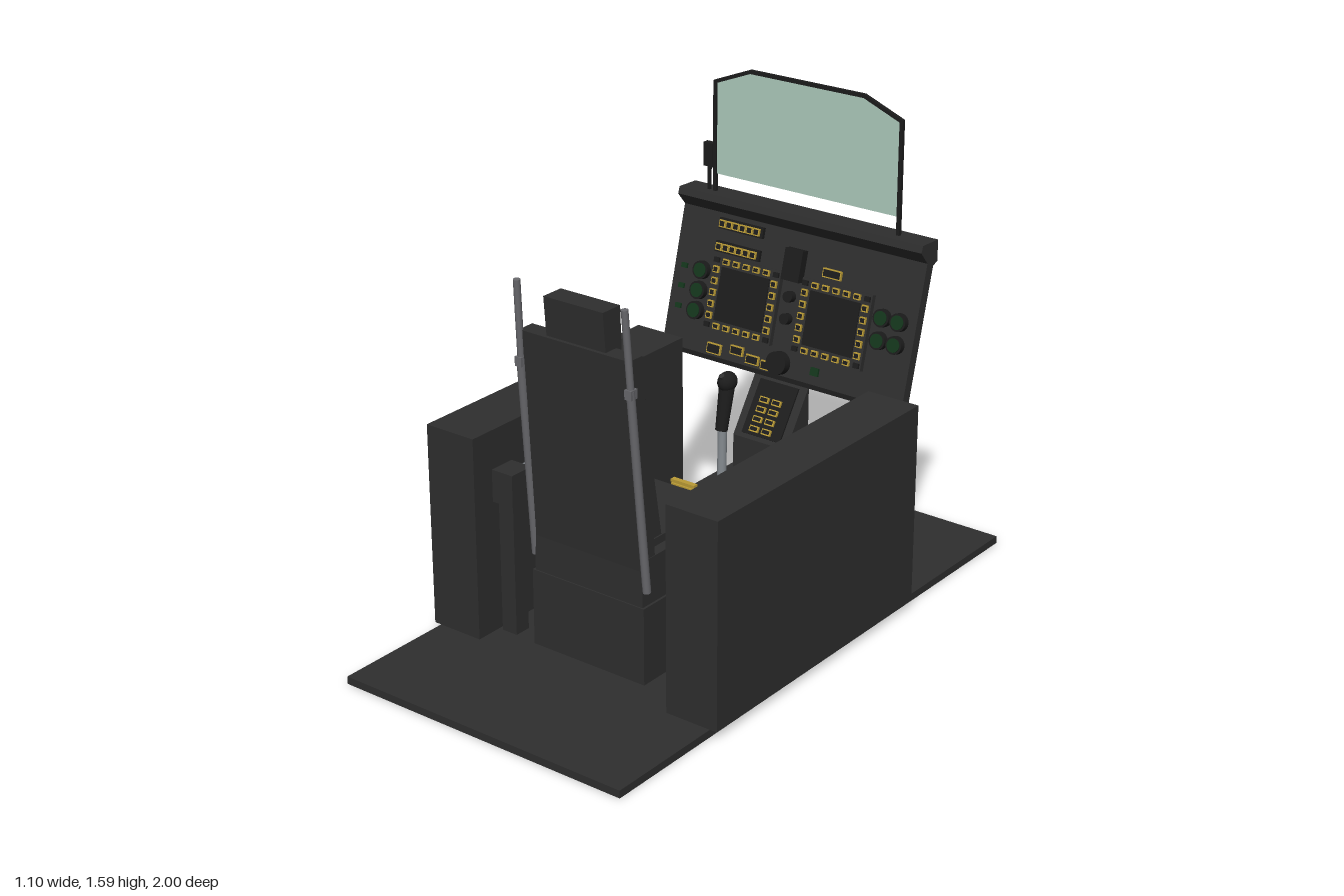
import * as THREE from 'three';

const mat = (name, color, side = THREE.FrontSide) => {
  const m = new THREE.MeshStandardMaterial({ color, side });
  m.name = name;
  return m;
};

export function createModel() {
  const M = {
    dark: mat('charcoal', 0x2e2e2e),
    black: mat('black', 0x1c1c1c),
    grey: mat('rail grey', 0x68686c),
    silver: mat('lever silver', 0x858b90),
    yellow: mat('yellow marking', 0xb99a35),
    green: mat('dark green', 0x14361c),
    bright: mat('bright green', 0x3c9a5c),
    glass: mat('pale green glass', 0xaecbbd, THREE.DoubleSide),
  };
  const model = new THREE.Group();
  model.name = 'cockpit';

  const add = (parent, name, geo, material, x = 0, y = 0, z = 0) => {
    const m = new THREE.Mesh(geo, material);
    m.name = name;
    m.position.set(x, y, z);
    parent.add(m);
    return m;
  };
  const group = (name, x = 0, y = 0, z = 0, parent = model) => {
    const g = new THREE.Group();
    g.name = name;
    g.position.set(x, y, z);
    parent.add(g);
    return g;
  };
  // box given by its min and max corners
  const block = (parent, name, material, x0, x1, y0, y1, z0, z1) =>
    add(parent, name, new THREE.BoxGeometry(x1 - x0, y1 - y0, z1 - z0), material,
      (x0 + x1) / 2, (y0 + y1) / 2, (z0 + z1) / 2);
  // round bar between two points
  const rod = (parent, name, material, a, b, r0, r1 = r0, sides = 16) => {
    const p = new THREE.Vector3(...a), q = new THREE.Vector3(...b), d = q.clone().sub(p);
    const m = add(parent, name, new THREE.CylinderGeometry(r1, r0, d.length(), sides), material);
    m.position.copy(p).add(q).multiplyScalar(0.5);
    m.quaternion.setFromUnitVectors(new THREE.Vector3(0, 1, 0), d.normalize());
    return m;
  };
  const shape = pts => new THREE.Shape(pts.map(p => new THREE.Vector2(...p)));
  // (z, y) profile swept across x
  const sweep = (parent, name, material, pts, w, x = 0) => {
    const geo = new THREE.ExtrudeGeometry(shape(pts), { depth: w, bevelEnabled: false });
    geo.translate(0, 0, -w / 2).rotateY(-Math.PI / 2);
    return add(parent, name, geo, material, x);
  };
  // key with a coloured rim, facing +z of its parent
  const key = (parent, x, y, z, w, h, rim = M.yellow, t = 0.008) => {
    add(parent, 'keyRim', new THREE.BoxGeometry(w, h, t), rim, x, y, z + t / 2);
    add(parent, 'keyFace', new THREE.BoxGeometry(w - 0.008, h - 0.008, 0.002), M.black, x, y, z + t + 0.001);
  };

  // floor and side consoles
  block(model, 'floor', M.dark, -0.525, 0.525, 0, 0.025, -1, 1);
  for (const s of [-1, 1])
    add(model, 'sideConsole', new THREE.BoxGeometry(0.185, 0.675, 1.025), M.dark, s * 0.4575, 0.3625, 0.073);
  const consoleKeys = group('consoleKeys', 0, 0.7, 0);
  consoleKeys.rotation.x = -Math.PI / 2;
  for (const [x, z, c] of [[-0.49, -0.215, M.bright], [-0.49, -0.178, M.yellow], [-0.49, -0.137, M.bright],
    [-0.42, -0.178, M.yellow], [-0.42, -0.137, M.bright]])
    key(consoleKeys, x, -z, 0, 0.03, 0.022, c);

  // seat
  const seat = group('seat');
  block(seat, 'seatBase', M.dark, -0.215, 0.215, 0.025, 0.28, 0.05, 0.5);
  block(seat, 'seatPan', M.dark, -0.207, 0.207, 0.28, 0.43, 0.03, 0.495);
  block(seat, 'seatCushion', M.dark, -0.17, 0.17, 0.43, 0.455, 0.06, 0.42);
  sweep(seat, 'seatBack', M.dark, [[0.425, 0.33], [0.49, 0.33], [0.545, 1.08], [0.485, 1.08]], 0.41);
  sweep(seat, 'backCushion', M.dark, [[0.35, 0.45], [0.44, 0.45], [0.48, 0.99], [0.44, 0.99]], 0.33);
  sweep(seat, 'headrest', M.dark, [[0.46, 1.05], [0.53, 1.05], [0.543, 1.205], [0.465, 1.205]], 0.22);
  for (const i of [0, 1])
    block(seat, 'pullHandle', M.yellow, -0.045, 0.045, 0.435 + i * 0.014, 0.445 + i * 0.014, 0.018, 0.036);
  for (const s of [-1, 1]) {
    rod(seat, 'lowerRail', M.grey, [s * 0.214, 0.33, 0.483], [s * 0.205, 0.99, 0.54], 0.013);
    rod(seat, 'upperRail', M.grey, [s * 0.205, 0.97, 0.537], [s * 0.199, 1.24, 0.555], 0.011);
    add(seat, 'railClamp', new THREE.BoxGeometry(0.024, 0.03, 0.03), M.grey, s * 0.205, 0.98, 0.538);
  }

  // control stick
  const stick = group('controlStick', 0, 0.025, -0.165);
  block(stick, 'stickPlate', M.dark, -0.082, 0.082, 0, 0.014, -0.082, 0.082);
  add(stick, 'stickBoot', new THREE.LatheGeometry([[0.052, 0], [0.052, 0.035], [0.04, 0.055], [0.022, 0.075], [0, 0.078]]
    .map(p => new THREE.Vector2(...p)), 24), M.black, 0, 0.014, 0);
  rod(stick, 'stickShaft', M.silver, [0, 0.07, 0], [0, 0.56, -0.005], 0.015);
  rod(stick, 'stickGrip', M.black, [0, 0.54, 0], [0, 0.69, -0.03], 0.02, 0.026);
  const head = add(stick, 'stickHead', new THREE.SphereGeometry(0.033, 16, 12), M.black, 0, 0.695, -0.03);
  head.scale.set(0.9, 1, 1.1);
  rod(stick, 'trimButton', M.dark, [0, 0.71, -0.01], [0, 0.725, 0.0], 0.009);

  // lever beside the seat
  const lever = group('sideLever', -0.32, 0, 0);
  block(lever, 'leverPost', M.dark, -0.03, 0.027, 0.025, 0.47, 0.437, 0.494);
  block(lever, 'leverBox', M.dark, -0.04, 0.04, 0.468, 0.575, 0.42, 0.51);
  rod(lever, 'leverShaft', M.silver, [0, 0.54, 0.46], [0, 0.61, 0.11], 0.017);
  rod(lever, 'leverGrip', M.black, [0, 0.608, 0.12], [0.005, 0.64, -0.06], 0.02, 0.024);
  const leverHead = add(lever, 'leverHead', new THREE.BoxGeometry(0.1, 0.055, 0.065), M.black, 0.005, 0.645, -0.085);
  leverHead.rotation.set(0.3, -0.35, 0);
  rod(lever, 'leverKnob', M.black, [-0.03, 0.66, -0.1], [-0.03, 0.685, -0.1], 0.015);
  rod(lever, 'leverButton', M.yellow, [-0.028, 0.685, -0.1], [-0.028, 0.69, -0.1], 0.008);

  // pedestal with a sloping key face
  sweep(model, 'pedestal', M.dark, [[-0.37, 0.025], [-0.37, 0.45], [-0.49, 0.63], [-0.49, 0.025]], 0.21);
  const slope = group('pedestalKeys', 0, 0.45, -0.37);
  slope.rotation.x = -Math.atan2(0.12, 0.18);
  block(slope, 'keyPlate', M.black, -0.075, 0.075, 0.015, 0.2, 0, 0.006);
  for (let r = 0; r < 4; r++)
    for (const x of [-0.03, 0.018]) key(slope, x, 0.035 + r * 0.033, 0.006, 0.034, 0.02);

  // foot pedals
  for (const s of [-1, 1]) {
    const x = s * 0.175;
    sweep(model, 'footPedal', M.dark, [[-0.66, 0.055], [-0.632, 0.068], [-0.728, 0.275], [-0.752, 0.264]], 0.08, x);
    rod(model, 'pedalStrut', M.silver, [x, 0.075, -0.73], [x, 0.03, -0.81], 0.008);
  }

  // instrument panel, built upright and tilted; local y runs up its face
  const panel = group('instrumentPanel', 0, 0.637, -0.465);
  panel.rotation.x = -0.26;
  const up = y => (y - 0.637) * 1.035;
  block(panel, 'panelBoard', M.dark, -0.47, 0.47, 0, 0.49, -0.036, 0);
  block(panel, 'panelLip', M.black, -0.47, 0.47, 0, 0.014, 0, 0.004);
  for (const s of [-1, 1]) {
    const d = group('display', s * 0.175, up(0.853), 0, panel);
    block(d, 'displayBezel', M.dark, -0.133, 0.133, -0.122, 0.122, 0, 0.018);
    block(d, 'displayScreen', M.black, -0.095, 0.095, -0.088, 0.088, 0.018, 0.022);
    for (let i = -2; i <= 2; i++)
      for (const e of [-1, 1]) {
        key(d, e * 0.115, i * 0.038, 0.018, 0.022, 0.022);
        key(d, i * 0.04, e * 0.106, 0.018, 0.024, 0.019);
      }
    for (const e of [-1, 1])
      for (const f of [-1, 1])
        block(d, 'bezelCorner', M.black, e * 0.118 - 0.01, e * 0.118 + 0.01, f * 0.107 - 0.008, f * 0.107 + 0.008, 0.018, 0.026);
  }
  // rows of keys above the left display
  for (const y of [1.07, 0.997]) {
    block(panel, 'keyStrip', M.black, -0.315, -0.14, up(y) - 0.018, up(y) + 0.018, 0, 0.012);
    for (let i = 0; i < 6; i++) key(panel, -0.297 + i * 0.027, up(y), 0.012, 0.024, 0.024);
  }
  // odd switch boxes
  for (const [x, y, w, h] of [[0.14, 1.0, 0.07, 0.03], [-0.26, 0.676, 0.055, 0.035], [-0.17, 0.69, 0.05, 0.03],
    [-0.105, 0.675, 0.05, 0.03], [-0.05, 0.67, 0.04, 0.03]])
    key(panel, x, up(y), 0, w, h, M.yellow, 0.009);
  // round gauges and small knobs
  const dial = (x, y, r) => {
    rod(panel, 'gaugeRim', M.black, [x, up(y), 0], [x, up(y), 0.02], r, r, 24);
    rod(panel, 'gaugeFace', M.green, [x, up(y), 0.02], [x, up(y), 0.023], r * 0.78, r * 0.78, 24);
  };
  for (const y of [0.91, 0.845, 0.78]) {
    dial(-0.355, y, 0.03);
    block(panel, 'smallIndicator', M.green, -0.44, -0.418, up(y) - 0.008, up(y) + 0.008, 0, 0.008);
  }
  for (const x of [0.35, 0.412]) for (const y of [0.91, 0.84]) dial(x, y, 0.029);
  for (const y of [0.9, 0.83]) rod(panel, 'centreKnob', M.black, [0, up(y), 0], [0, up(y), 0.025], 0.018);
  block(panel, 'centreUnit', M.black, -0.034, 0.034, up(0.95), up(1.05), 0, 0.03);
  rod(panel, 'centreDial', M.black, [0, up(0.69), 0], [0, up(0.69), 0.03], 0.038, 0.038, 24);
  block(panel, 'lowerIndicator', M.green, 0.12, 0.15, up(0.68), up(0.705), 0, 0.008);

  // hood over the panel
  sweep(model, 'panelHood', M.dark,
    [[-0.645, 1.165], [-0.645, 1.095], [-0.62, 1.085], [-0.59, 1.1], [-0.552, 1.145], [-0.56, 1.168]], 0.94);

  // sight glass in a thin open frame
  const frame = [[-0.36, 1.16], [-0.36, 1.537], [-0.217, 1.594], [0.217, 1.594], [0.36, 1.537], [0.36, 1.16],
    [0.348, 1.16], [0.348, 1.529], [0.215, 1.582], [-0.215, 1.582], [-0.348, 1.529], [-0.348, 1.16]];
  add(model, 'glassFrame', new THREE.ExtrudeGeometry(shape(frame), { depth: 0.012, bevelEnabled: false }),
    M.black, 0, 0, -0.606);
  add(model, 'sightGlass', new THREE.ShapeGeometry(shape([[-0.35, 1.225], [0.35, 1.225], [0.35, 1.531],
    [0.215, 1.584], [-0.215, 1.584], [-0.35, 1.531]])), M.glass, 0, 0, -0.6);
  block(model, 'standbyCompass', M.black, -0.397, -0.36, 1.245, 1.325, -0.613, -0.592);
  block(model, 'compassPost', M.black, -0.384, -0.374, 1.16, 1.25, -0.606, -0.596);

  return model;
}
